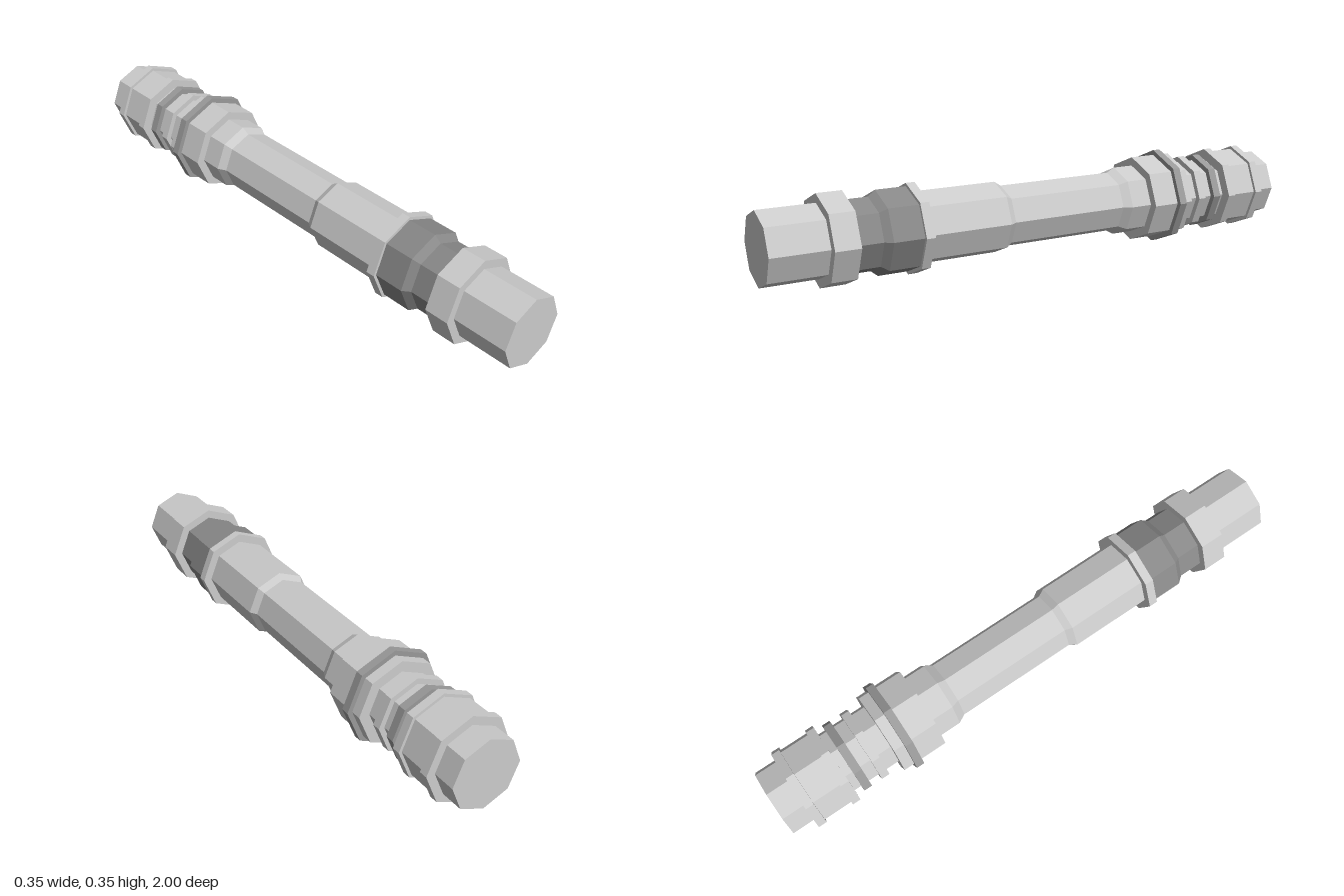
import * as THREE from 'three';

const AXIS_Y = 0.174;
const SIDES = 8;
const CORE = 0.125, NECK = 0.118, WAIST = 0.109;
const SLEEVE = 0.145, COLLAR = 0.156, GUARD = 0.174, RIB = 0.138;

const material = (color) => new THREE.MeshStandardMaterial({ color, flatShading: true });
const light = material(0xcccccc);
const mid = material(0x999999);
const dark = material(0x888888);

// Eight-sided section of the handle; each profile entry is [z, radius], back to front
function section(name, profile, mat = light) {
  const points = profile.map(([z, r]) => new THREE.Vector2(r, z));
  const mesh = new THREE.Mesh(new THREE.LatheGeometry(points, SIDES), mat);
  mesh.rotation.x = Math.PI / 2;
  mesh.position.y = AXIS_Y;
  mesh.name = name;
  return mesh;
}

// Square-edged band standing out from the inner radius
const band = (name, z0, z1, inner, outer, mat) =>
  section(name, [[z0, inner], [z0, outer], [z1, outer], [z1, inner]], mat);

export function createModel() {
  const model = new THREE.Group();
  model.name = 'handle';

  model.add(
    // Rear cap and stepped rear sleeve
    section('rearCap', [[-1, 0], [-1, CORE], [-0.92, CORE]]),
    section('rearSleeve', [
      [-0.92, CORE], [-0.92, COLLAR], [-0.89, COLLAR], [-0.89, SLEEVE],
      [-0.787, SLEEVE], [-0.787, COLLAR], [-0.757, COLLAR], [-0.757, NECK],
    ]),

    // Ribbed neck
    section('ribbedNeck', [[-0.757, NECK], [-0.58, NECK]]),
    band('darkRib', -0.73, -0.7, NECK, RIB, mid),
    band('lightRib', -0.66, -0.63, NECK, RIB, light),

    // Collar with a raised guard ring
    section('rearCollar', [[-0.58, NECK], [-0.58, COLLAR], [-0.415, COLLAR], [-0.415, CORE]]),
    band('guardRing', -0.542, -0.513, COLLAR, GUARD, mid),

    // Main shaft, narrowed at the waist
    section('shaft', [
      [-0.415, CORE], [-0.335, CORE], [-0.305, WAIST],
      [0.14, WAIST], [0.165, CORE], [0.463, CORE],
    ]),

    // Front flange, dark tapered sleeve, collar and end cap
    band('frontFlange', 0.463, 0.495, CORE, COLLAR, light),
    section('frontSleeve', [
      [0.495, CORE], [0.495, SLEEVE], [0.603, SLEEVE], [0.628, CORE], [0.715, CORE],
    ], dark),
    band('frontCollar', 0.715, 0.803, CORE, COLLAR, light),
    section('frontCap', [[0.803, CORE], [1, CORE], [1, 0]]),
  );

  return model;
}
